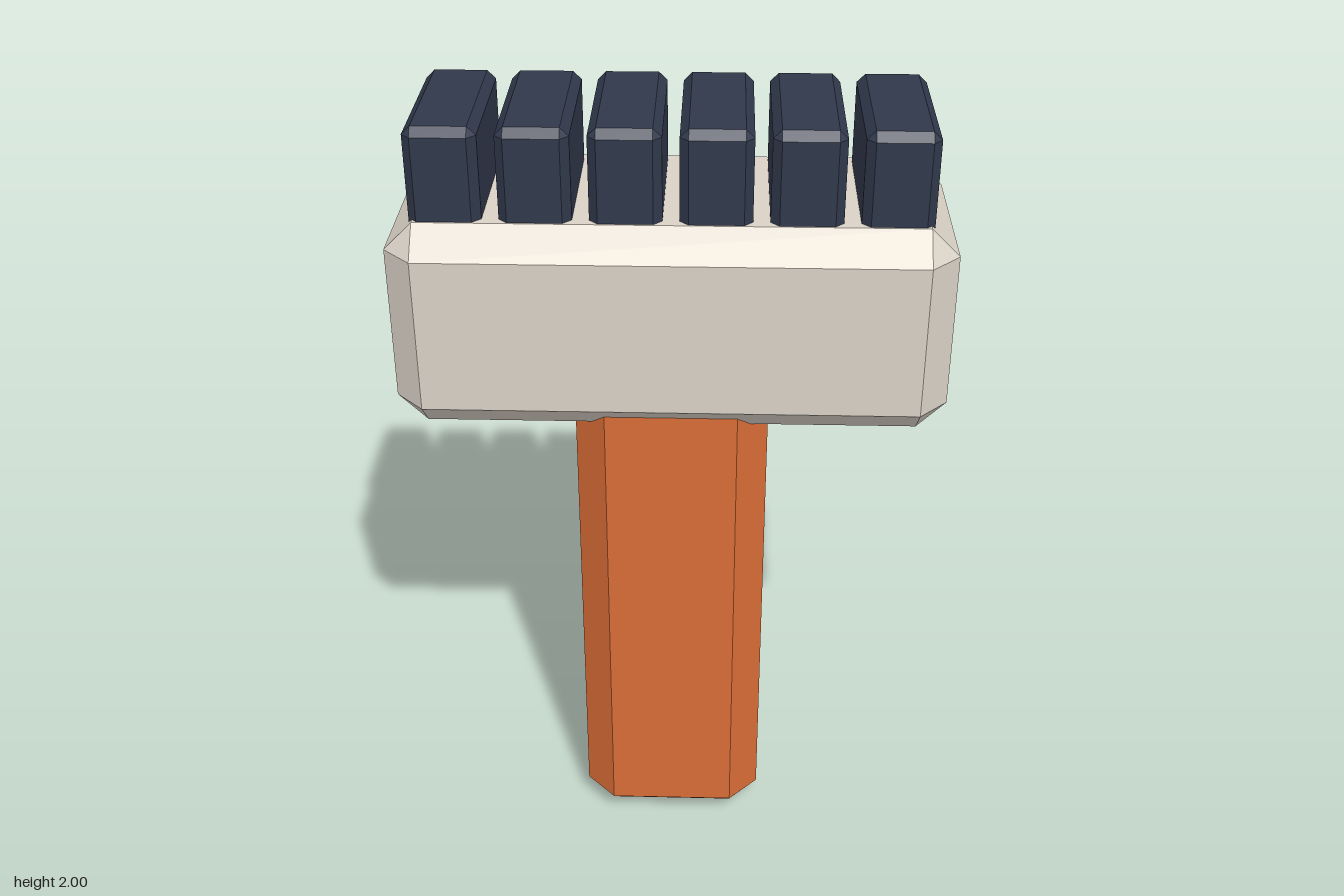
import * as THREE from 'three';
import { ConvexGeometry } from 'three/addons/geometries/ConvexGeometry.js';

const orange = new THREE.MeshStandardMaterial({ name: 'orange', color: 0xd96d37 });
const cream = new THREE.MeshStandardMaterial({ name: 'cream', color: 0xdad2c6 });
const navy = new THREE.MeshStandardMaterial({ name: 'navy', color: 0x30384b });

// Box with every edge cut flat by c and triangular corners
function chamferBox(w, h, d, c) {
  const points = [];
  for (const sx of [-1, 1]) for (const sy of [-1, 1]) for (const sz of [-1, 1]) {
    for (const [ix, iy, iz] of [[0, c, c], [c, 0, c], [c, c, 0]]) {
      points.push(new THREE.Vector3(sx * (w / 2 - ix), sy * (h / 2 - iy), sz * (d / 2 - iz)));
    }
  }
  return new ConvexGeometry(points);
}

export function createModel() {
  const model = new THREE.Group();
  model.name = 'brush';

  function add(name, geometry, material, x, y, z) {
    const mesh = new THREE.Mesh(geometry, material);
    mesh.name = name;
    mesh.position.set(x, y, z);
    model.add(mesh);
    return mesh;
  }

  const zMid = 0.326;

  // Upright handle, its top sunk into the head
  add('handle', chamferBox(0.464, 1.42, 0.466, 0.074), orange, 0, 0.71, zMid);

  // Wide head block
  add('head', chamferBox(1.3, 0.516, 0.538, 0.068), cream, 0, 1.522, zMid);

  // Row of six blocks on top of the head
  const blockGeometry = chamferBox(0.165, 0.36, 0.398, 0.02);
  for (let i = 0; i < 6; i++) {
    add('topBlock' + (i + 1), blockGeometry, navy, (i - 2.5) * 0.2035, 1.82, zMid - 0.002);
  }

  // Round peg reaching backwards from the handle
  const peg = add('peg', new THREE.CylinderGeometry(0.224, 0.224, 0.815, 12), navy, 0, 0.402, -0.1875);
  peg.rotation.x = Math.PI / 2;

  return model;
}
